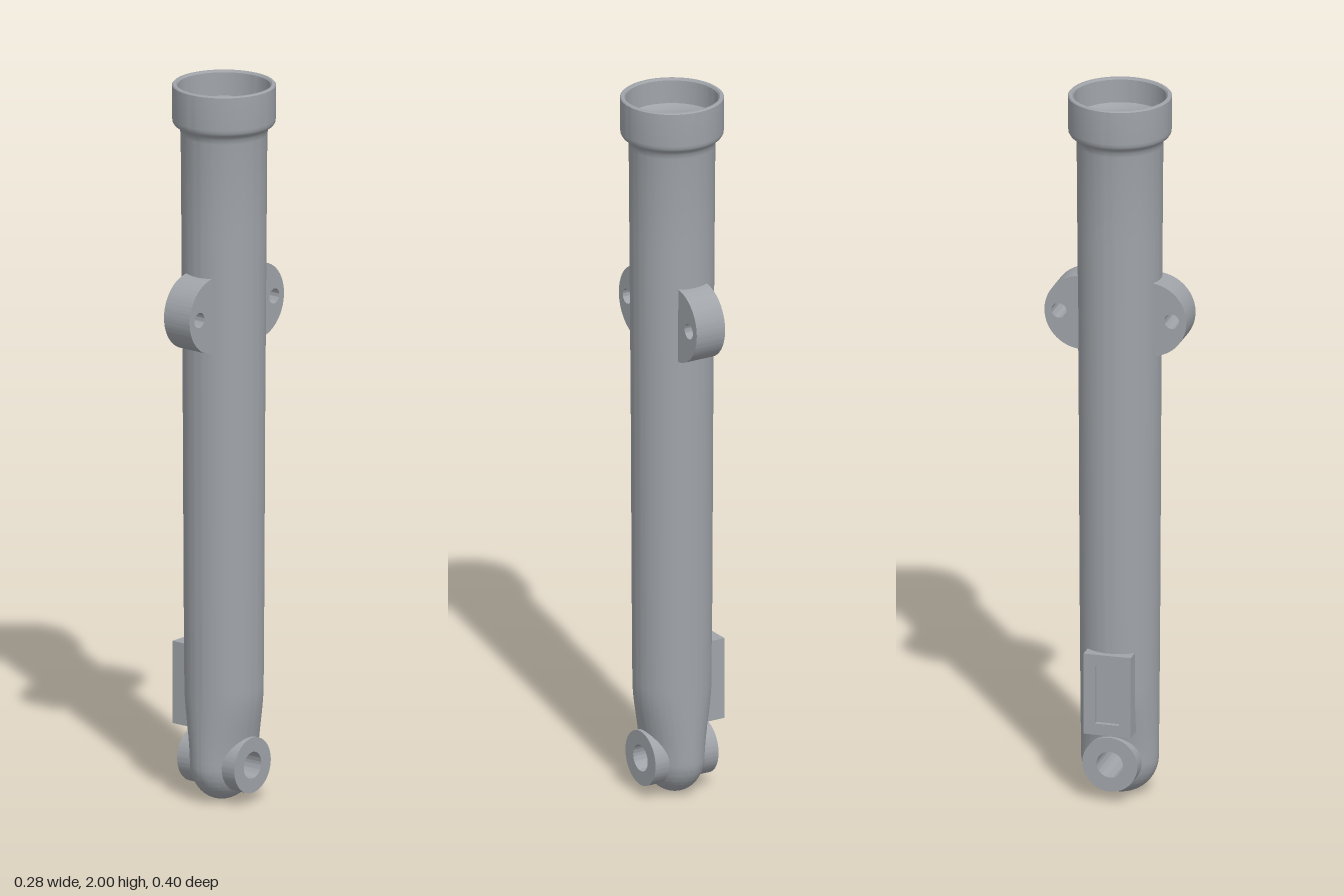
import * as THREE from 'three';
import { toCreasedNormals } from 'three/addons/utils/BufferGeometryUtils.js';

const metal = new THREE.MeshStandardMaterial({ color: 0xa0a4a9 });
metal.name = 'grey metal';

const EYE_Y = 0.108;   // height of the lower eye axis
const R = 0.107;       // radius of the rounded lower end

function part(name, geometry) {
  const mesh = new THREE.Mesh(geometry, metal);
  mesh.name = name;
  return mesh;
}

// Extrude a (z, y) outline along x, from x0 to x1
function extrudeX(shape, x0, x1) {
  const g = new THREE.ExtrudeGeometry(shape, { depth: x1 - x0, bevelEnabled: false, curveSegments: 40 });
  g.rotateY(-Math.PI / 2);
  g.translate(x1, 0, 0);
  return toCreasedNormals(g, 0.6);
}

function circleHole(z, y, r) {
  return new THREE.Path().absarc(z, y, r, 0, Math.PI * 2, true);
}

function rectangle(Type, z0, y0, z1, y1) {
  const s = new Type();
  s.moveTo(z0, y0);
  s.lineTo(z1, y0);
  s.lineTo(z1, y1);
  s.lineTo(z0, y1);
  s.closePath();
  return s;
}

// Hollow tapered tube with collar, rounded end flattened towards the eye
function tubeGeometry() {
  const pts = [];
  const add = (r, y) => pts.push(new THREE.Vector2(r, y));
  for (let i = 0; i <= 24; i++) {
    const a = (i / 24) * Math.PI / 2;
    add(i === 0 ? 0 : R * Math.sin(a), R - R * Math.cos(a));
  }
  for (let i = 1; i <= 20; i++) add(R, R + (i / 20) * 0.213);
  // outer taper, flare and collar
  [[0.109, 0.6], [0.111, 1.05], [0.115, 1.6], [0.117, 1.86], [0.119, 1.873], [0.125, 1.882],
    [0.135, 1.889], [0.139, 1.896], [0.14, 1.905], [0.14, 1.997], [0.137, 2.0],
  // counterbore, seat and blind bore
    [0.13, 2.0], [0.126, 1.995], [0.125, 1.93], [0.112, 1.918], [0.107, 1.9], [0.093, 0.45], [0, 0.45],
  ].forEach(([r, y]) => add(r, y));

  const g = new THREE.LatheGeometry(pts, 96);
  const pos = g.attributes.position;
  for (let i = 0; i < pos.count; i++) {
    const t = THREE.MathUtils.smoothstep(pos.getY(i), 0.1, 0.32);
    pos.setX(i, pos.getX(i) * (0.75 + 0.25 * t));
  }
  // open the wall where the eye passes through
  const inEye = (i) => Math.hypot(pos.getY(i) - EYE_Y, pos.getZ(i)) < 0.045;
  const kept = [];
  for (let i = 0; i < g.index.count; i += 3) {
    const tri = [0, 1, 2].map((k) => g.index.getX(i + k));
    if (!tri.some(inEye)) kept.push(...tri);
  }
  g.setIndex(kept);
  return toCreasedNormals(g, 0.6);
}

// Rounded ear with a cross hole, facing +z
function bracketGeometry() {
  const y = 1.378, r = 0.105, zc = 0.094;
  const s = new THREE.Shape();
  s.moveTo(0.07, y - r);
  s.lineTo(zc, y - r);
  s.absarc(zc, y, r, -Math.PI / 2, Math.PI / 2, false);
  s.lineTo(0.07, y + r);
  s.closePath();
  s.holes.push(circleHole(0.158, y, 0.021));
  return extrudeX(s, -0.045, 0.045);
}

export function createModel() {
  const model = new THREE.Group();
  model.name = 'lowerTube';
  model.add(part('tubeBody', tubeGeometry()));

  // Lower mounting eye running through the rounded end
  const eye = new THREE.Shape().absarc(0, EYE_Y, 0.077, 0, Math.PI * 2, false);
  eye.holes.push(circleHole(0, EYE_Y, 0.037));
  model.add(part('mountingEye', extrudeX(eye, -0.1, 0.1)));

  // Ears on the front and back
  const bracket = bracketGeometry();
  model.add(part('frontBracket', bracket));
  const back = part('backBracket', bracket);
  back.rotation.y = Math.PI;
  model.add(back);

  // Framed pad on the right side
  const pad = new THREE.Group();
  pad.name = 'sidePad';
  const frame = rectangle(THREE.Shape, -0.066, 0.2, 0.066, 0.43);
  frame.holes.push(rectangle(THREE.Path, -0.034, 0.232, 0.034, 0.398));
  pad.add(part('padFrame', extrudeX(frame, -0.126, -0.06)));
  pad.add(part('padRecess', extrudeX(rectangle(THREE.Shape, -0.04, 0.225, 0.04, 0.405), -0.112, -0.07)));
  model.add(pad);

  return model;
}
